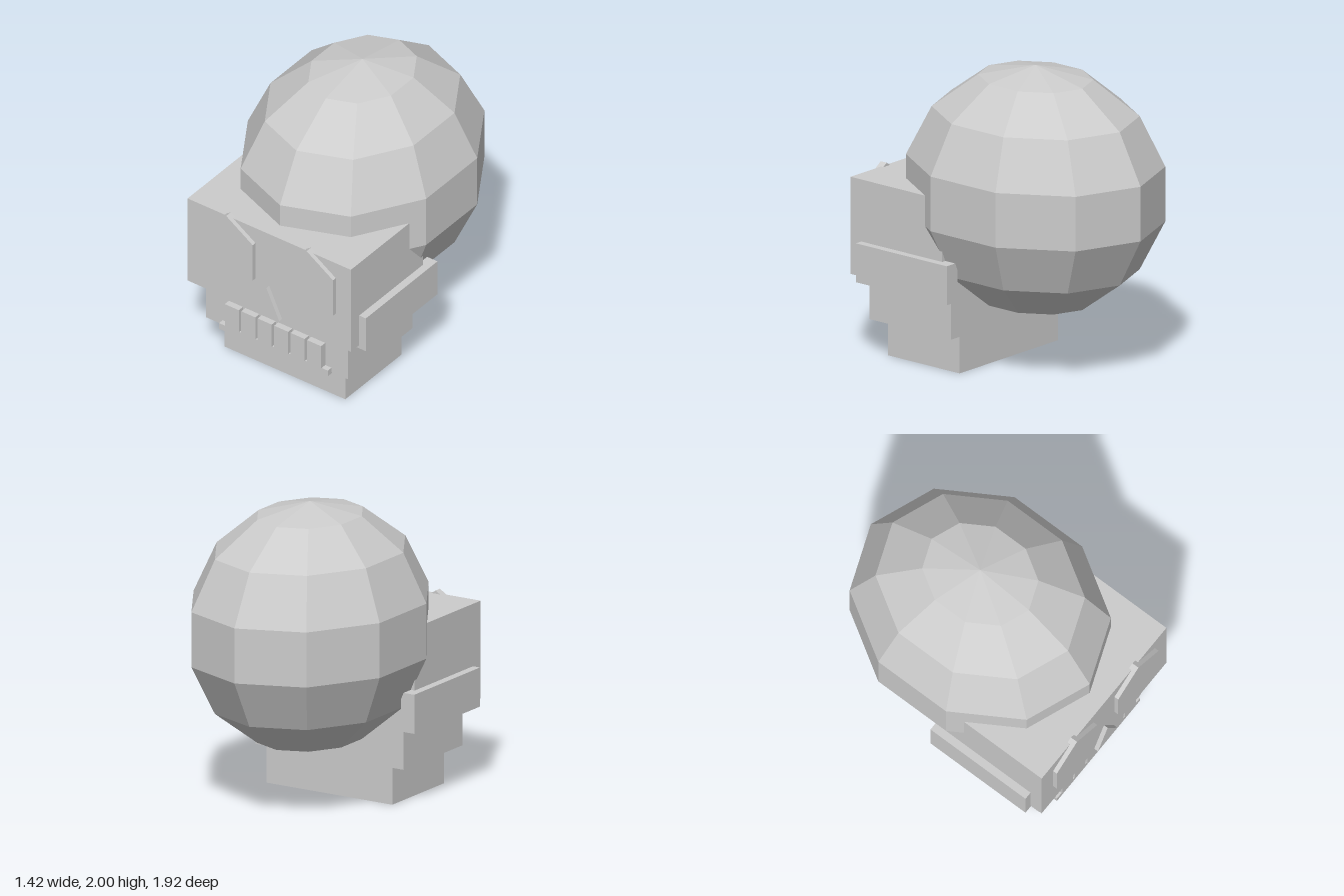
import * as THREE from 'three';

export function createModel() {
  const group = new THREE.Group();
  group.name = 'skull';
  const material = new THREE.MeshStandardMaterial({ color: 0xcccccc, flatShading: true });

  const add = (name, geometry) => {
    const mesh = new THREE.Mesh(geometry, material);
    mesh.name = name;
    group.add(mesh);
    return mesh;
  };

  // Box given by its extents on each axis
  const box = (name, [x0, x1], [y0, y1], [z0, z1]) => {
    const mesh = add(name, new THREE.BoxGeometry(x1 - x0, y1 - y0, z1 - z0));
    mesh.position.set((x0 + x1) / 2, (y0 + y1) / 2, (z0 + z1) / 2);
  };

  // Thin flat plate cut from an outline, set into the face
  const plate = (name, points, x = 0, y = 0) => {
    const shape = new THREE.Shape(points.map(([px, py]) => new THREE.Vector2(px, py)));
    const mesh = add(name, new THREE.ExtrudeGeometry(shape, { depth: 0.05, bevelEnabled: false }));
    mesh.position.set(x, y, 0.91);
  };

  // Cranium: coarse faceted ellipsoid with corners on the front and back axis
  const cranium = add('cranium', new THREE.SphereGeometry(1, 10, 7)
    .rotateY(Math.PI / 2)
    .scale(0.766, 0.822, 0.91));
  cranium.position.set(0, 1.178, -0.073);

  // Stacked face blocks
  box('face', [-0.65, 0.65], [0.55, 1.2], [0.155, 0.93]);
  box('upperJaw', [-0.565, 0.565], [0.245, 0.55], [0.155, 0.845]);
  box('chin', [-0.48, 0.48], [0, 0.245], [0.155, 0.76]);

  // Cheekbones and hexagonal eyes
  const hexagon = Array.from({ length: 6 }, (_, i) => {
    const a = Math.PI / 2 + i * Math.PI / 3;
    return [0.243 * Math.cos(a), 0.28 * Math.sin(a)];
  });
  for (const [side, s] of [['left', 1], ['right', -1]]) {
    box(side + 'Cheekbone', s > 0 ? [0.6, 0.703] : [-0.703, -0.6], [0.525, 0.785], [0.07, 0.84]);
    plate(side + 'Eye', hexagon, s * 0.32, 0.942);
  }

  // Nose
  plate('nose', [[-0.102, 0.572], [0.102, 0.572], [0, 0.79]]);

  // Teeth standing on a gum bar
  for (let i = 0; i < 6; i++) {
    const x = (i - 2.5) * 0.131;
    box('tooth' + (i + 1), [x - 0.056, x + 0.056], [0.28, 0.455], [0.82, 0.89]);
  }
  box('gumBar', [-0.433, 0.433], [0.235, 0.28], [0.84, 0.885]);

  return group;
}
